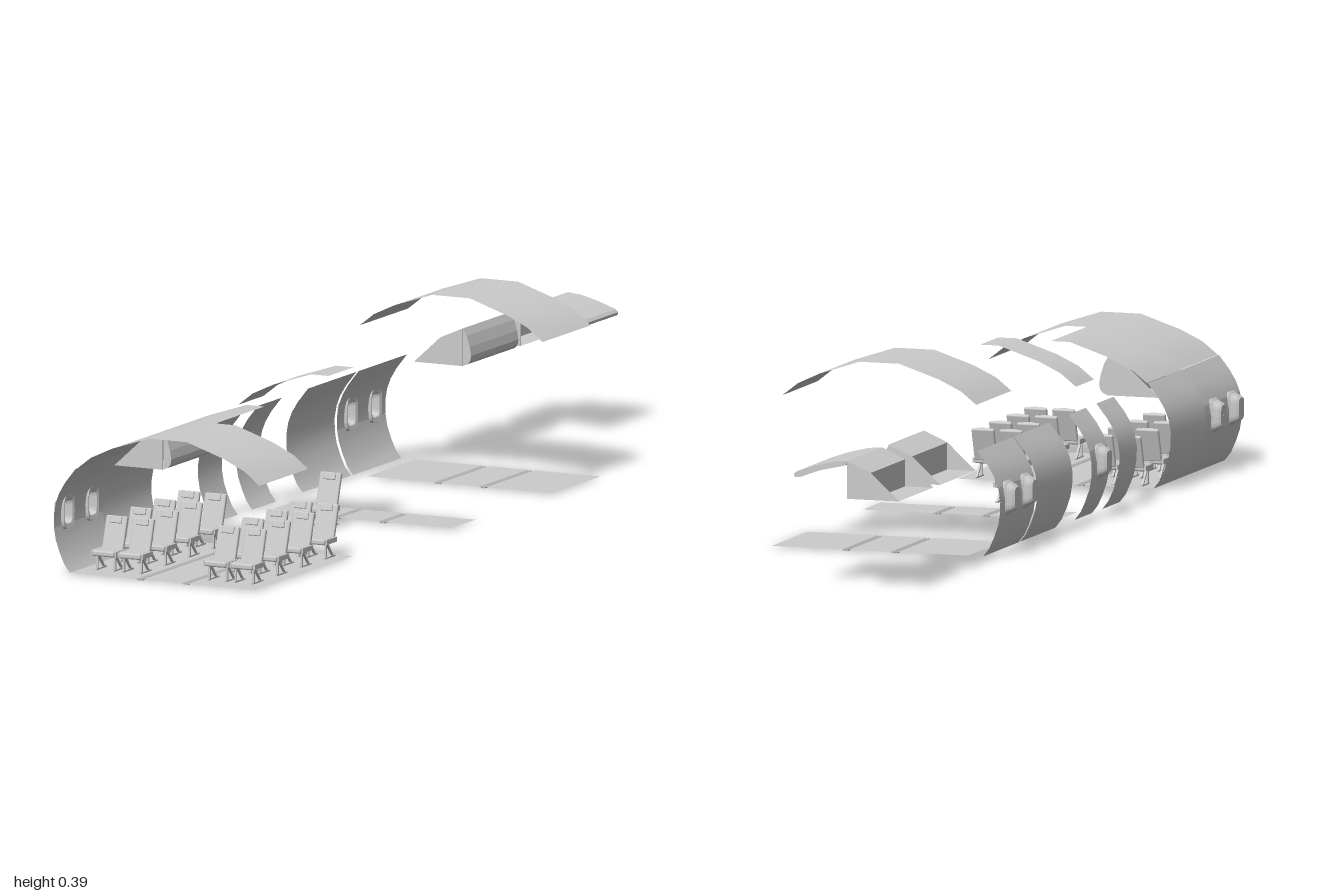
import * as THREE from 'three';
import { RoundedBoxGeometry } from 'three/addons/geometries/RoundedBoxGeometry.js';

const mat = new THREE.MeshStandardMaterial({ color: 0xcccccc, side: THREE.DoubleSide });

function add(parent, name, geo, x = 0, y = 0, z = 0) {
  const m = new THREE.Mesh(geo, mat);
  m.name = name;
  m.position.set(x, y, z);
  parent.add(m);
  return m;
}

// Sheet: an x/y profile swept from z0 to z1
function sheet(profile, z0, z1, smooth = true) {
  const pos = [], idx = [];
  profile.forEach(([x, y], i) => {
    pos.push(x, y, z0, x, y, z1);
    if (i) {
      const a = 2 * i - 2;
      idx.push(a, a + 1, a + 2, a + 1, a + 3, a + 2);
    }
  });
  let g = new THREE.BufferGeometry();
  g.setAttribute('position', new THREE.Float32BufferAttribute(pos, 3));
  g.setIndex(idx);
  if (!smooth) g = g.toNonIndexed();
  g.computeVertexNormals();
  return g;
}

// Solid: a closed x/y outline extruded from z0 to z1
function prism(outline, z0, z1) {
  const shape = new THREE.Shape(outline.map(([x, y]) => new THREE.Vector2(x, y)));
  return new THREE.ExtrudeGeometry(shape, { depth: z1 - z0, bevelEnabled: false }).translate(0, 0, z0);
}

const WALL_LOW = [[-0.2, 0.003], [-0.213, 0.02], [-0.223, 0.042], [-0.232, 0.068], [-0.236, 0.092]];
const WALL_MID = [[-0.236, 0.092], [-0.2365, 0.118], [-0.232, 0.144]];
const WALL_TOP = [[-0.232, 0.144], [-0.224, 0.165], [-0.21, 0.188], [-0.187, 0.217]];
const CEILING = [[-0.185, 0.217], [-0.152, 0.243], [-0.105, 0.265], [-0.02, 0.293],
  [0.065, 0.293], [0.15, 0.265], [0.197, 0.243], [0.23, 0.217]];
const HALF_CEILING = [...CEILING.slice(0, 4), [0.02, 0.293]];

// Window frame: rounded-rectangle rings from outer pane to inner opening
function windowFrame() {
  const rings = [[-0.255, 0.001, 0.001], [-0.255, 0.016, 0.022], [-0.25, 0.019, 0.026], [-0.239, 0.022, 0.031],
    [-0.234, 0.025, 0.036], [-0.229, 0.023, 0.034], [-0.231, 0.017, 0.025], [-0.249, 0.014, 0.021], [-0.249, 0.001, 0.001]];
  const N = 24, pos = [], idx = [];
  rings.forEach(([x, w, h], r) => {
    for (let i = 0; i < N; i++) {
      const c = Math.cos(i / N * 2 * Math.PI), s = Math.sin(i / N * 2 * Math.PI);
      pos.push(x, h * Math.sign(s) * Math.sqrt(Math.abs(s)), w * Math.sign(c) * Math.sqrt(Math.abs(c)));
      if (r) {
        const a = (r - 1) * N + i, b = (r - 1) * N + (i + 1) % N;
        idx.push(a, b, a + N, b, b + N, a + N);
      }
    }
  });
  let g = new THREE.BufferGeometry();
  g.setAttribute('position', new THREE.Float32BufferAttribute(pos, 3));
  g.setIndex(idx);
  g = g.toNonIndexed();
  g.computeVertexNormals();
  return g;
}

// Side wall with openings at the given window positions
function wall(parent, z0, z1, windows = []) {
  const g = new THREE.Group();
  g.name = 'sideWall';
  parent.add(g);
  if (!windows.length) {
    add(g, 'wallPanel', sheet([...WALL_LOW, WALL_MID[1], ...WALL_TOP], z0, z1));
    return;
  }
  add(g, 'lowerWall', sheet(WALL_LOW, z0, z1));
  add(g, 'upperWall', sheet(WALL_TOP, z0, z1));
  let start = z0;
  for (const z of windows) {
    add(g, 'wallBetweenWindows', sheet(WALL_MID, start, z - 0.018));
    add(g, 'windowFrame', windowFrame(), 0, 0.118, z);
    start = z + 0.018;
  }
  add(g, 'wallBetweenWindows', sheet(WALL_MID, start, z1));
}

// Floor panel with two shallow aisle grooves
function floor(parent, cx, z0, z1) {
  const p = [[-0.21, 0.003]];
  for (const c of [-0.052, 0.052]) {
    p.push([c - 0.0075, 0.003], [c - 0.005, 0], [c - 0.002, 0], [c, 0.003], [c + 0.002, 0], [c + 0.005, 0], [c + 0.0075, 0.003]);
  }
  p.push([0.21, 0.003]);
  add(parent, 'floorPanel', sheet(p, z0, z1, false), cx);
}

// Overhead locker, door closed or raised
function locker(parent, z0, z1, open) {
  const g = new THREE.Group();
  g.name = open ? 'openLocker' : 'closedLocker';
  parent.add(g);
  const end = [[-0.21, 0.188], [-0.1, 0.188], [-0.1, 0.265], [-0.15, 0.243]];
  add(g, 'lockerEnd', prism(end, z0, z0 + 0.002));
  add(g, 'lockerEnd', prism(end, z1 - 0.002, z1));
  add(g, 'lockerShell', sheet([[-0.1, 0.265], [-0.15, 0.243], [-0.15, 0.188]], z0, z1, false));
  add(g, 'lockerFloor', sheet([[-0.21, 0.188], [-0.1, 0.188]], z0, z1));
  const door = open
    ? [[-0.1, 0.265], [-0.07, 0.262], [-0.03, 0.252], [0.008, 0.239], [0.014, 0.233], [0.012, 0.227], [0, 0.228], [-0.04, 0.243], [-0.097, 0.256]]
    : [[-0.1, 0.265], [-0.1, 0.188], [-0.09, 0.192], [-0.084, 0.199], [-0.082, 0.21], [-0.085, 0.228], [-0.092, 0.25]];
  const inset = open ? 0 : 0.003;
  add(g, 'lockerDoor', prism(door, z0 + inset, z1 - inset));
}

// Passenger seat facing +z
function seat(parent, x, z) {
  const g = new THREE.Group();
  g.name = 'seat';
  g.position.set(x, 0, z);
  parent.add(g);
  add(g, 'cushion', new RoundedBoxGeometry(0.05, 0.012, 0.05, 2, 0.004), 0, 0.039, 0.005);
  const back = new THREE.Group();
  back.name = 'reclinedBack';
  back.position.set(0, 0.04, -0.016);
  back.rotation.x = -0.3;
  g.add(back);
  add(back, 'backrest', new RoundedBoxGeometry(0.048, 0.07, 0.009, 2, 0.003), 0, 0.035, 0);
  add(back, 'headrest', new RoundedBoxGeometry(0.027, 0.015, 0.005, 2, 0.002), 0, 0.062, 0.005);
  for (const s of [-1, 1]) {
    add(g, 'sideRail', new THREE.BoxGeometry(0.004, 0.01, 0.044), s * 0.0265, 0.039, 0.003);
    add(g, 'frontLeg', new THREE.BoxGeometry(0.004, 0.031, 0.004), s * 0.02, 0.0185, 0.014);
    const brace = add(g, 'rearLeg', new THREE.BoxGeometry(0.004, 0.04, 0.004), s * 0.02, 0.0185, -0.004);
    brace.rotation.x = 0.72;
    add(g, 'foot', new THREE.BoxGeometry(0.005, 0.003, 0.045), s * 0.02, 0.0045, -0.002);
  }
}

export function createModel() {
  const root = new THREE.Group();
  root.name = 'aircraftCabinKit';

  // Assembled cabin section
  const cabin = new THREE.Group();
  cabin.name = 'cabin';
  root.add(cabin);
  floor(cabin, 0.01, 0.57, 1);
  wall(cabin, 0.57, 0.785);
  wall(cabin, 0.785, 1, [0.838, 0.945]);
  add(cabin, 'fullCeiling', sheet(CEILING, 0.785, 1));
  add(cabin, 'halfCeiling', sheet(HALF_CEILING, 0.57, 0.785));
  locker(cabin, 0.57, 0.785, false);
  for (let row = 0; row < 4; row++) {
    for (const x of [-0.1475, -0.087, 0.107, 0.167]) seat(cabin, x, 0.61 + row * 0.106);
  }

  // Loose narrow pieces
  seat(root, 0.01, 0.292);
  wall(root, 0.26, 0.365);
  wall(root, 0.092, 0.197, [0.147]);
  floor(root, 0.0425, 0.09, 0.197);
  add(root, 'narrowCeiling', sheet(HALF_CEILING, 0.255, 0.365), 0.04, 0.033);

  // Loose wide pieces
  wall(root, -0.237, -0.024);
  wall(root, -0.46, -0.247, [-0.408, -0.302]);
  floor(root, 0.0425, -0.46, -0.247);
  add(root, 'wideCeiling', sheet(CEILING, -0.46, -0.247), 0, 0.094);

  // Loose overhead lockers
  locker(root, -0.75, -0.535, false);
  locker(root, -1, -0.79, true);
  return root;
}
